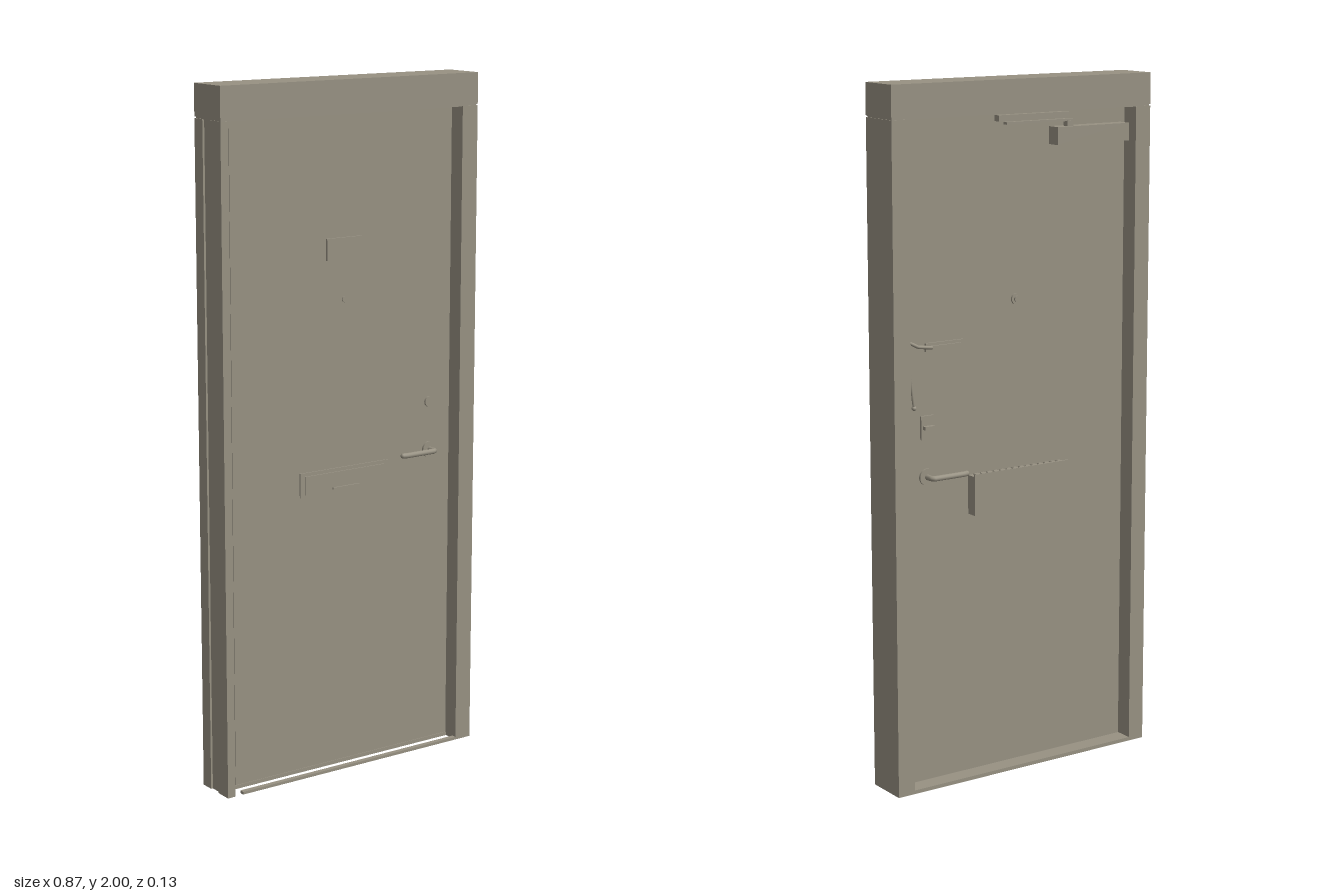
import * as THREE from 'three';

export function createModel() {
  const root = new THREE.Group();
  root.name = 'entranceDoor';
  const paint = new THREE.MeshStandardMaterial({ color: 0x979182 });
  paint.name = 'warmGrey';

  const add = (name, geometry, parent = root) => {
    const mesh = new THREE.Mesh(geometry, paint);
    mesh.name = name;
    parent.add(mesh);
    return mesh;
  };
  // Box given by its limits on each axis
  const box = (name, x0, x1, y0, y1, z0, z1, parent) => {
    const m = add(name, new THREE.BoxGeometry(x1 - x0, y1 - y0, z1 - z0), parent);
    m.position.set((x0 + x1) / 2, (y0 + y1) / 2, (z0 + z1) / 2);
    return m;
  };
  // Round disc facing along z
  const disc = (name, x, y, z0, z1, r, parent) => {
    const g = new THREE.CylinderGeometry(r, r, z1 - z0, 24).rotateX(Math.PI / 2);
    const m = add(name, g, parent);
    m.position.set(x, y, (z0 + z1) / 2);
    return m;
  };
  const tube = (name, pts, r, parent) => {
    const curve = new THREE.CatmullRomCurve3(pts.map(p => new THREE.Vector3(...p)), false, 'catmullrom', 0.1);
    return add(name, new THREE.TubeGeometry(curve, 24, r, 10), parent);
  };
  // Upright post from a plan outline of [x, z] points
  const post = (name, outline, height) => {
    const shape = new THREE.Shape(outline.map(([x, z]) => new THREE.Vector2(x, -z)));
    const g = new THREE.ExtrudeGeometry(shape, { depth: height, bevelEnabled: false });
    return add(name, g.rotateX(-Math.PI / 2), root);
  };

  const F = 0.02, B = -0.016; // front and back planes of the leaf

  // Frame
  box('header', -0.435, 0.435, 1.91, 2, -0.065, 0.065);
  box('headerJoint', -0.432, 0.432, 1.905, 1.91, -0.062, 0.062);
  post('leftJamb', [[0.435, 0.065], [0.381, 0.065], [0.381, -0.065], [0.435, -0.065]], 1.906);
  post('rightJamb', [
    [-0.435, 0.065], [-0.41, 0.065], [-0.41, 0.022], [-0.384, 0.022], [-0.384, -0.065],
    [-0.435, -0.065], [-0.435, -0.025], [-0.429, -0.025], [-0.429, 0.015], [-0.435, 0.015],
  ], 1.906);
  box('backThreshold', -0.384, 0.381, 0, 0.011, -0.065, 0.018);
  box('frontThreshold', -0.384, 0.381, 0, 0.008, 0.05, 0.065);

  // Leaf
  box('doorLeaf', -0.38, 0.377, 0.013, 1.901, B, F);

  // Name plate and spy hole
  box('namePlate', -0.063, 0.06, 1.496, 1.558, F, F + 0.006);
  disc('spyHoleFront', 0, 1.382, F, F + 0.004, 0.009);
  disc('spyHoleBack', 0, 1.382, B - 0.006, B, 0.016);
  disc('spyHoleCap', 0, 1.382, B - 0.011, B - 0.006, 0.009);

  // Letter slot on the front
  const slot = new THREE.Group();
  slot.name = 'letterSlot';
  root.add(slot);
  box('slotPlate', -0.155, 0.155, 0.825, 0.897, F, F + 0.004, slot);
  box('slotFlap', -0.14, 0.14, 0.833, 0.887, F + 0.004, F + 0.008, slot);
  box('flapGrip', -0.047, 0.045, 0.837, 0.843, F + 0.008, F + 0.013, slot);

  // Letter box on the back, with a rimmed open top
  const letterBox = new THREE.Group();
  letterBox.name = 'letterBox';
  root.add(letterBox);
  box('boxBody', -0.163, 0.163, 0.78, 0.893, B - 0.035, B, letterBox);
  box('boxRim', -0.163, 0.163, 0.893, 0.9, B - 0.035, B - 0.03, letterBox);
  for (let i = 0; i < 14; i++) {
    const x = -0.143 + i * 0.022;
    box('boxVent', x - 0.007, x + 0.007, 0.893, 0.897, B - 0.025, B - 0.007, letterBox);
  }

  // Lever handles on both faces
  for (const [side, z, s] of [['front', F, 1], ['back', B, -1]]) {
    const handle = new THREE.Group();
    handle.name = side + 'Handle';
    root.add(handle);
    disc('rose', 0.303, 0.907, Math.min(z, z + s * 0.006), Math.max(z, z + s * 0.006), 0.024, handle);
    tube('lever', [[0.303, 0.907, z], [0.303, 0.907, z + s * 0.027], [0.297, 0.907, z + s * 0.033],
      [0.2, 0.907, z + s * 0.033], [0.188, 0.907, z + s * 0.03]], 0.008, handle);
    const tip = add('leverTip', new THREE.SphereGeometry(0.008, 12, 8), handle);
    tip.position.set(0.188, 0.907, z + s * 0.03);
  }

  // Lock cylinder and inside thumb turn
  disc('lockCylinder', 0.302, 1.05, F, F + 0.006, 0.016);
  box('thumbTurnPlate', 0.28, 0.322, 1.015, 1.082, B - 0.006, B);
  box('thumbTurn', 0.285, 0.317, 1.044, 1.054, B - 0.02, B - 0.006);

  // Safety chain: track on the leaf, guide arm to the jamb, hanging chain
  const guard = new THREE.Group();
  guard.name = 'safetyChain';
  root.add(guard);
  box('chainTrack', 0.18, 0.305, 1.262, 1.286, B - 0.006, B, guard);
  box('trackRail', 0.19, 0.295, 1.27, 1.278, B - 0.012, B - 0.006, guard);
  box('jambBracket', 0.373, 0.381, 1.27, 1.32, -0.05, -0.025, guard);
  tube('guideArm', [[0.375, 1.3, -0.035], [0.34, 1.282, -0.038], [0.29, 1.274, -0.03]], 0.005, guard);
  tube('chain', [[0.374, 1.29, -0.035], [0.36, 1.2, -0.026], [0.345, 1.11, -0.022]], 0.004, guard);
  const bob = add('chainEnd', new THREE.SphereGeometry(0.007, 12, 8), guard);
  bob.position.set(0.345, 1.108, -0.022);

  // Door closer with its sliding arm
  const closer = new THREE.Group();
  closer.name = 'doorCloser';
  root.add(closer);
  box('closerBody', -0.365, -0.115, 1.81, 1.86, B - 0.042, B, closer);
  box('closerSpindle', -0.175, -0.155, 1.86, 1.876, B - 0.032, B - 0.012, closer);
  box('closerArm', -0.175, 0.05, 1.874, 1.881, B - 0.03, B - 0.014, closer);
  box('closerRail', -0.17, 0.07, 1.883, 1.9, B - 0.02, B, closer);

  return root;
}
